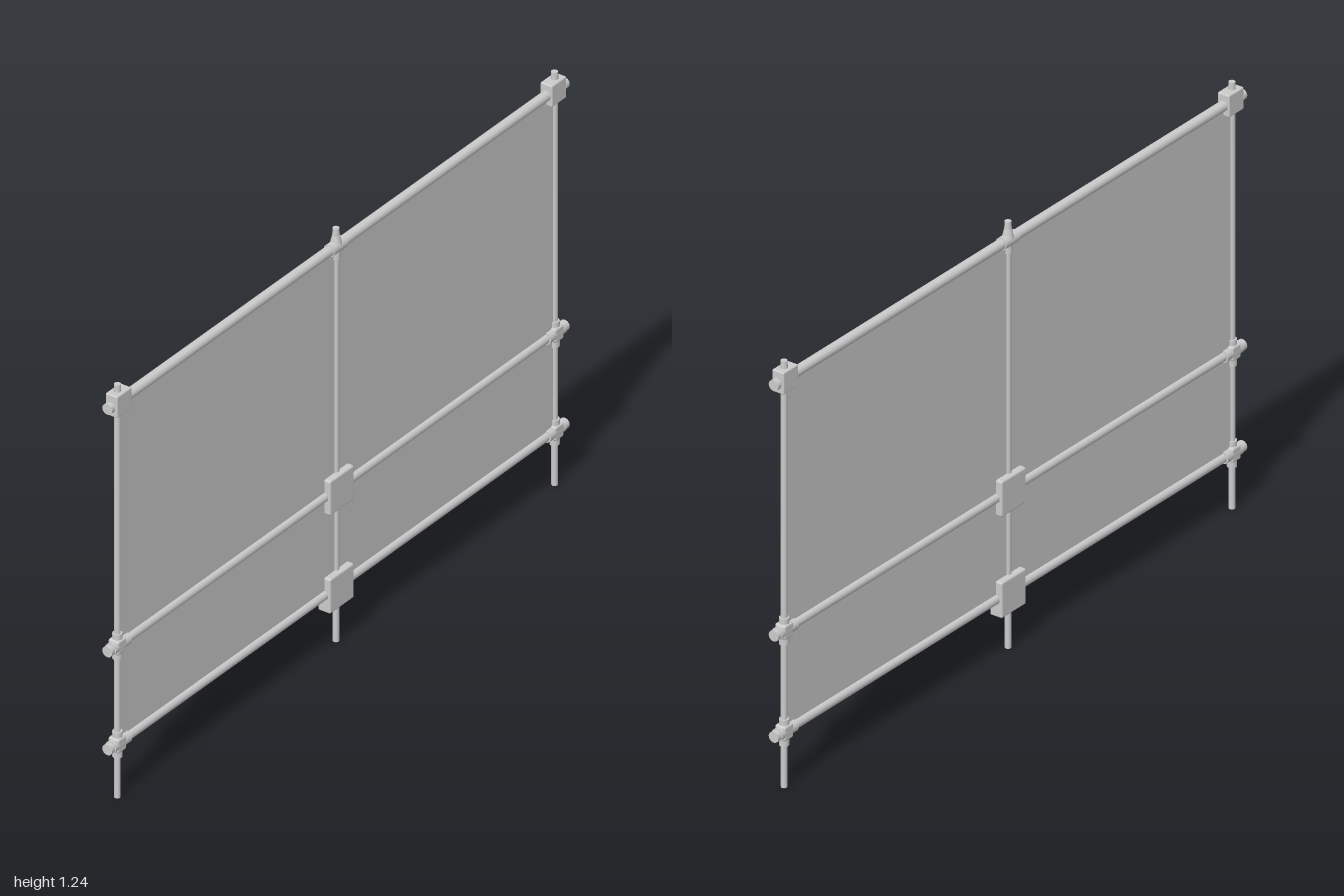
import * as THREE from 'three';
import { RoundedBoxGeometry } from 'three/addons/geometries/RoundedBoxGeometry.js';

const material = new THREE.MeshStandardMaterial({ color: 0xcccccc });
const sheetMaterial = new THREE.MeshStandardMaterial({ color: 0xcccccc, side: THREE.DoubleSide });

const POST_X = 0.955, TOP = 1.18, HEIGHT = 1.235;
const LOWER_RAILS = [0.455, 0.162];

export function createModel() {
  const model = new THREE.Group();

  const add = (name, geometry, x, y, parent = model) => {
    const mesh = new THREE.Mesh(geometry, material);
    mesh.name = name;
    mesh.position.set(x, y, 0);
    parent.add(mesh);
    return mesh;
  };
  // Upright tube between two heights, optionally tapered
  const upright = (name, x, y0, y1, r, rTop = r, parent = model) =>
    add(name, new THREE.CylinderGeometry(rTop, r, y1 - y0, 20), x, (y0 + y1) / 2, parent);
  // Level tube between two x positions
  const level = (name, y, x0, x1, r, parent = model) => {
    const mesh = add(name, new THREE.CylinderGeometry(r, r, x1 - x0, 20), (x0 + x1) / 2, y, parent);
    mesh.rotation.z = -Math.PI / 2;
    return mesh;
  };

  // Thin infill sheet
  const sheet = new THREE.Mesh(
    new THREE.BoxGeometry(POST_X * 2, TOP - LOWER_RAILS[1], 0.003), sheetMaterial);
  sheet.name = 'infillPanel';
  sheet.position.y = (TOP + LOWER_RAILS[1]) / 2;
  model.add(sheet);

  // Posts with a slim cap on top
  for (const x of [-POST_X, 0, POST_X]) {
    upright('post', x, 0, 1.215, 0.0085);
    upright('postCap', x, 1.21, HEIGHT, 0.01, 0.009);
  }

  // Rails
  level('topRail', TOP, -0.98, 0.98, 0.0145);
  for (const y of LOWER_RAILS) level('rail', y, -0.98, 0.98, 0.0135);

  // End fittings, mirrored on both sides
  for (const side of [-1, 1]) {
    const end = (y, parent) => {
      level('railNeck', y, side * 0.985 - 0.01, side * 0.985 + 0.01, 0.012, parent);
      level('railEndCap', y, side * 0.993 - 0.007, side * 0.993 + 0.007, 0.0155, parent);
    };

    const corner = new THREE.Group();
    corner.name = 'topCornerFitting';
    model.add(corner);
    add('cornerBlock', new RoundedBoxGeometry(0.064, 0.064, 0.038, 2, 0.004), side * 0.95, TOP + 0.002, corner);
    end(TOP, corner);

    for (const y of LOWER_RAILS) {
      const joint = new THREE.Group();
      joint.name = 'crossJoint';
      model.add(joint);
      upright('uprightSleeve', side * POST_X, y - 0.04, y + 0.036, 0.0135, 0.0135, joint);
      level('levelSleeve', y, side * 0.95 - 0.035, side * 0.95 + 0.035, 0.0175, joint);
      add('jointCore', new RoundedBoxGeometry(0.038, 0.042, 0.034, 2, 0.006), side * POST_X, y, joint);
      end(y, joint);
    }
  }

  // Middle tee on the top rail
  const tee = new THREE.Group();
  tee.name = 'topMiddleTee';
  model.add(tee);
  level('teeSleeve', TOP, -0.03, 0.03, 0.0175, tee);
  upright('teeCollar', 0, TOP, 1.213, 0.018, 0.0105, tee);
  upright('teeSocket', 0, TOP - 0.035, TOP, 0.0125, 0.0125, tee);

  // Square clamp plates where the middle post meets the lower rails
  for (const y of LOWER_RAILS)
    add('clampPlate', new RoundedBoxGeometry(0.106, 0.104, 0.04, 3, 0.006), 0, y, model);

  return model;
}
